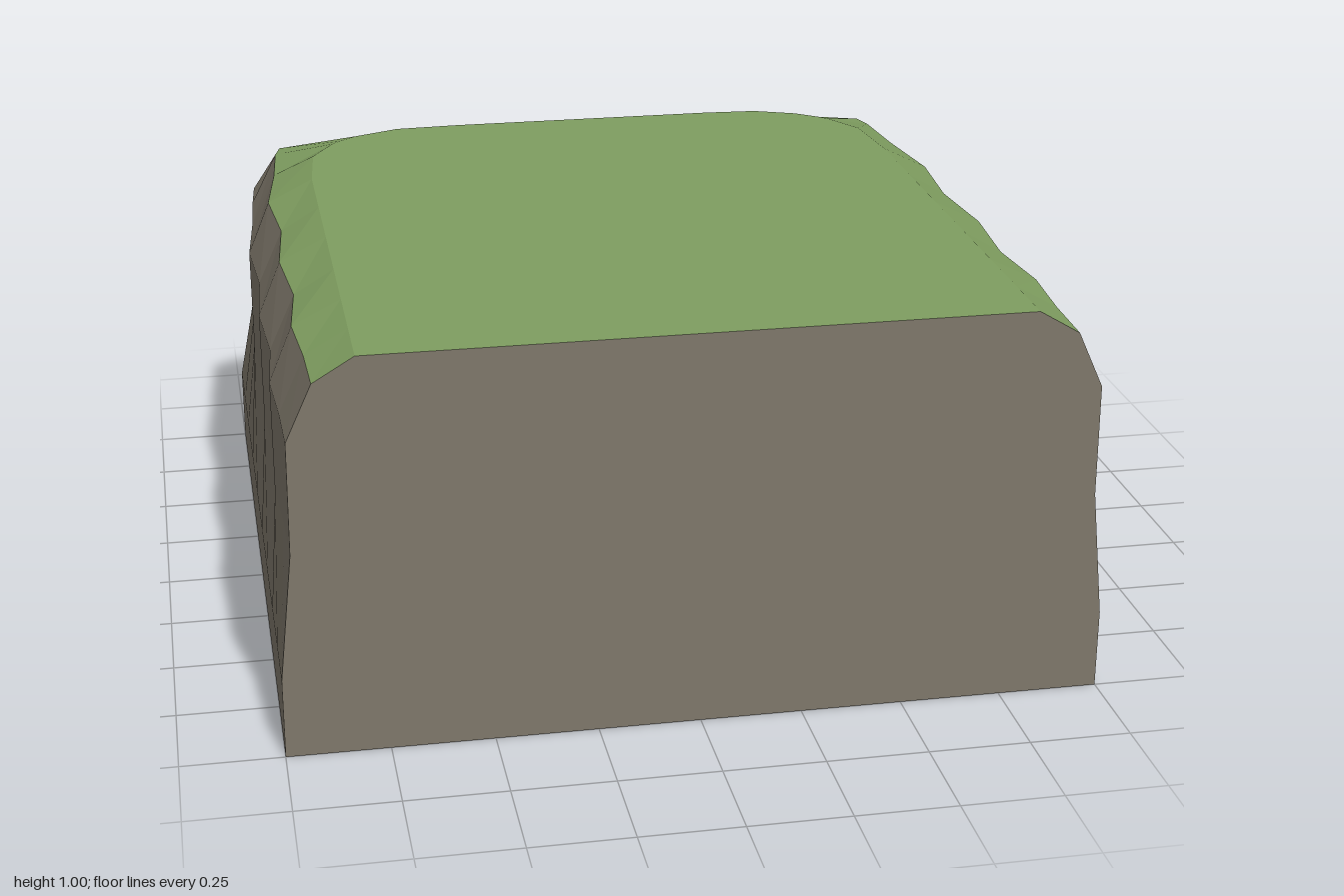
import * as THREE from 'three';

const rock = new THREE.MeshStandardMaterial({ color: 0x7f786b, flatShading: true });
rock.name = 'rock';
const grass = new THREE.MeshStandardMaterial({ color: 0x7f9e60, flatShading: true });
grass.name = 'grass';

// Wavy rim: [position along the wall, inset of the rim]
const sideRim = [[1, 0.1], [0.82, 0.095], [0.62, 0.08], [0.4, 0.1], [0.15, 0.08],
  [-0.1, 0.1], [-0.35, 0.08], [-0.6, 0.11], [-0.8, 0.125]];
const backRim = [[-0.75, 0.11], [-0.55, 0.1], [-0.35, 0.09], [-0.15, 0.08],
  [0.1, 0.1], [0.38, 0.08], [0.55, 0.1], [0.72, 0.125]];

// Path round the three weathered walls: left front, back, right front
const path = [
  ...sideRim.map(([z, inset]) => ({ x: -1, z, nx: -1, nz: 0, inset })),
  { x: -1, z: -1, nx: -1, nz: -1, inset: 0.14 },
  ...backRim.map(([x, inset]) => ({ x, z: -1, nx: 0, nz: -1, inset })),
  { x: 1, z: -1, nx: 1, nz: -1, inset: 0.14 },
  ...sideRim.slice().reverse().map(([z, inset]) => ({ x: 1, z, nx: 1, nz: 0, inset })),
];

function ring(y, depth) {
  return path.map((p) => {
    const d = depth(p.inset);
    return new THREE.Vector3(p.x - p.nx * d, y, p.z - p.nz * d);
  });
}

// Flat top outline with rounded back corners
function roundedRing(points, y) {
  return points.map((p) => {
    const core = new THREE.Vector3(THREE.MathUtils.clamp(p.x, -0.45, 0.45), y, Math.max(p.z, -0.45));
    const out = new THREE.Vector3(p.x - core.x, 0, p.z - core.z).setLength(0.35);
    return core.add(out);
  });
}

// Quads between two rings
function band(low, high) {
  const tris = [];
  for (let i = 0; i < low.length - 1; i++) {
    tris.push(low[i], high[i], high[i + 1], low[i], high[i + 1], low[i + 1]);
  }
  return tris;
}

// Triangles from a centre to each step of an outline
function fan(centre, outline) {
  const tris = [];
  for (let i = 0; i < outline.length - 1; i++) tris.push(centre, outline[i], outline[i + 1]);
  return tris;
}

function addMesh(group, name, tris, material) {
  const geometry = new THREE.BufferGeometry().setFromPoints(tris);
  geometry.computeVertexNormals();
  const mesh = new THREE.Mesh(geometry, material);
  mesh.name = name;
  group.add(mesh);
}

export function createModel() {
  const group = new THREE.Group();
  group.name = 'cliffBlock';

  const rings = [
    ring(0, () => 0),
    ring(0.2, () => 0),
    ring(0.52, (d) => 0.6 * d - 0.026),
    ring(0.8, (d) => 0.7 * d - 0.034),
    ring(0.94, (d) => d),
  ];
  const rim = rings[4];
  const top = roundedRing(rim, 1);
  const last = path.length - 1;

  // Weathered rock walls on the sides and back
  const walls = [];
  for (let i = 0; i < 4; i++) walls.push(...band(rings[i], rings[i + 1]));
  addMesh(group, 'rockWalls', walls, rock);

  // Flat cut face at the front
  const levels = [...rings, top];
  const section = [...levels.map((r) => r[last]), ...levels.slice().reverse().map((r) => r[0])];
  addMesh(group, 'frontFace', fan(new THREE.Vector3(0, 0, 1), section), rock);

  // Underside
  addMesh(group, 'underside', fan(new THREE.Vector3(0, 0, 1), rings[0]), rock);

  // Grass: sloping edge and flat lawn
  addMesh(group, 'grassEdge', band(rim, top), grass);
  addMesh(group, 'grassTop', fan(new THREE.Vector3(0, 1, 1), top.slice().reverse()), grass);

  return group;
}
